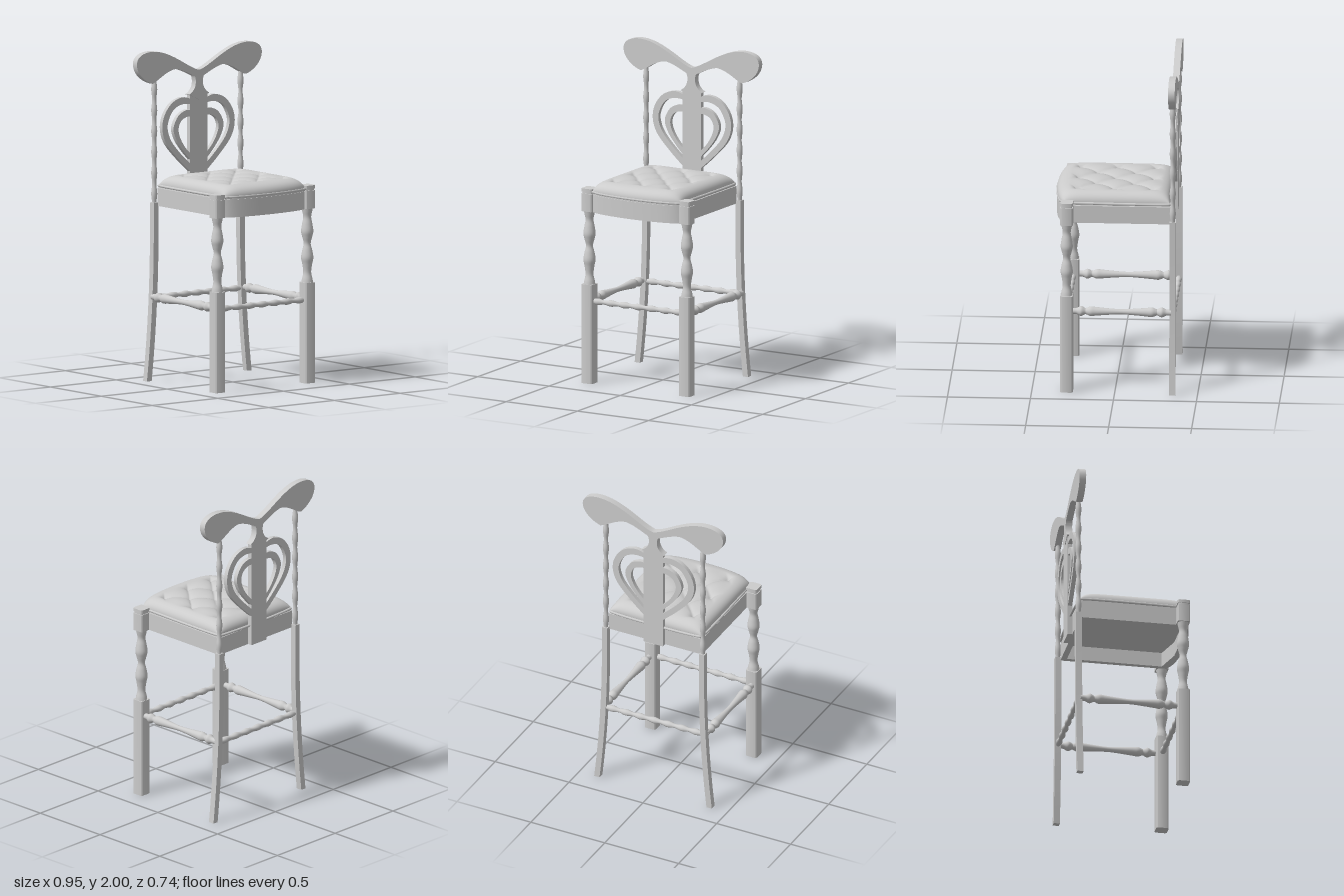
import * as THREE from 'three';
import { toCreasedNormals } from 'three/addons/utils/BufferGeometryUtils.js';

const BACK_Z = -0.348, LEG_X = 0.342, LEG_Z = 0.29, POST_X = 0.328;
const material = new THREE.MeshStandardMaterial({ color: 0xcccccc, side: THREE.DoubleSide });

function add(parent, name, geometry, x = 0, y = 0, z = 0) {
  const mesh = new THREE.Mesh(geometry, material);
  mesh.name = name;
  mesh.position.set(x, y, z);
  parent.add(mesh);
  return mesh;
}

const vec = (list) => list.map(([x, y]) => new THREE.Vector2(x, y));
const smooth = (list, n = 40) => new THREE.SplineCurve(vec(list)).getPoints(n);

// Turned part: smooth curve through [radius, height] pairs
const turned = (list, n = 60) => new THREE.LatheGeometry(smooth(list, n), 20);

// Rod with evenly spaced swellings
function beadedRod(length, beads, rMin, rMax) {
  const points = [];
  const n = beads * 10;
  for (let i = 0; i <= n; i++) {
    const wave = 0.5 - 0.5 * Math.cos((i / n) * beads * Math.PI * 2);
    points.push(new THREE.Vector2(rMin + (rMax - rMin) * wave, (i / n) * length));
  }
  return new THREE.LatheGeometry(points, 16);
}

// Flat board in the XY plane
function board(shape, depth) {
  const g = new THREE.ExtrudeGeometry(shape, { depth, bevelEnabled: false, curveSegments: 16 });
  return toCreasedNormals(g, 0.6);
}

// Plan shape (x, -z) raised upwards
const raised = (shape, height) => board(shape, height).rotateX(-Math.PI / 2);

function roundedSquare(half, r) {
  const s = new THREE.Shape();
  const k = half - r;
  s.absarc(k, k, r, 0, Math.PI / 2);
  s.absarc(-k, k, r, Math.PI / 2, Math.PI);
  s.absarc(-k, -k, r, Math.PI, Math.PI * 1.5);
  s.absarc(k, -k, r, Math.PI * 1.5, Math.PI * 2);
  return s;
}

// Bowed front edge of the seat
const frontEdge = (x) => 0.366 - 0.035 * (x / 0.31) ** 2 - 0.02 * (x / 0.31) ** 8;

function seatOutline(halfWidth, back) {
  const points = [new THREE.Vector2(-halfWidth, -back)];
  for (let i = 0; i <= 30; i++) {
    const x = halfWidth * (i / 15 - 1);
    points.push(new THREE.Vector2(x, -frontEdge(x)));
  }
  points.push(new THREE.Vector2(halfWidth, -back));
  return new THREE.Shape(points);
}

// Button-tufted cushion top
function cushionTop() {
  const g = new THREE.PlaneGeometry(2, 2, 120, 120).rotateX(-Math.PI / 2);
  const p = g.attributes.position;
  const fade = (d, w) => 1 - THREE.MathUtils.smoothstep(d, 0, w);
  for (let i = 0; i < p.count; i++) {
    const s = Math.sin(p.getX(i) * Math.PI / 2), t = Math.sin(p.getZ(i) * Math.PI / 2);
    const x = 0.31 * s;
    const z = THREE.MathUtils.lerp(-0.33, frontEdge(x), (t + 1) / 2);
    const u = x / 0.2 + (z - 0.005) / 0.23, v = x / 0.2 - (z - 0.005) / 0.23;
    const a = Math.abs(Math.sin(Math.PI * u)), b = Math.abs(Math.sin(Math.PI * v));
    const mask = fade(Math.abs(x) - 0.19, 0.07) * fade(Math.abs(z - 0.005) - 0.215, 0.07);
    const crease = 1 - Math.pow(a * b, 0.4);
    const button = (1 - a) * (1 - b);
    const edge = Math.sqrt(Math.max(0, (1 - s ** 8) * (1 - t ** 8)));
    const top = 0.068 - mask * (0.02 * crease + 0.016 * button * button);
    p.setXYZ(i, x, 1.188 + top * edge, z);
  }
  g.computeVertexNormals();
  return g;
}

function buildSeat(root) {
  const seat = new THREE.Group();
  seat.name = 'seat';
  root.add(seat);
  const frame = seatOutline(0.315, -0.335);
  frame.holes.push(new THREE.Path(vec([[-0.285, 0.3], [0.285, 0.3], [0.285, -0.28],
    [0.12, -0.325], [-0.12, -0.325], [-0.285, -0.28]])));
  add(seat, 'seatApron', raised(frame, 0.108), 0, 1.06, 0);
  add(seat, 'seatBoard', raised(seatOutline(0.3, -0.325), 0.02), 0, 1.15, -0.004);
  add(seat, 'cushionBase', raised(seatOutline(0.31, -0.33), 0.018), 0, 1.17, 0);
  add(seat, 'cushionTop', cushionTop());
  // Piping round the cushion
  const loop = seatOutline(0.306, -0.326).getPoints().map((q) => new THREE.Vector3(q.x, 1.183, -q.y - 0.004));
  const path = new THREE.CatmullRomCurve3(loop, true, 'catmullrom', 0.1);
  add(seat, 'cushionPiping', new THREE.TubeGeometry(path, 160, 0.008, 8, true));
}

function buildFrontLeg(root, side) {
  const leg = new THREE.Group();
  leg.name = side > 0 ? 'leftFrontLeg' : 'rightFrontLeg';
  leg.position.set(side * LEG_X, 0, LEG_Z);
  root.add(leg);
  const block = roundedSquare(0.038, 0.014);
  add(leg, 'lowerBlock', raised(block, 0.61));
  add(leg, 'turnedShaft', turned([[0.036, 0.605], [0.032, 0.63], [0.024, 0.67], [0.03, 0.72], [0.037, 0.76],
    [0.03, 0.805], [0.021, 0.845], [0.03, 0.885], [0.037, 0.92], [0.031, 0.965], [0.024, 1.005],
    [0.03, 1.04], [0.035, 1.065]]));
  add(leg, 'upperBlock', raised(block, 0.11), 0, 1.06, 0);
  add(leg, 'capNeck', raised(roundedSquare(0.033, 0.012), 0.012), 0, 1.17, 0);
  add(leg, 'cap', raised(block, 0.02), 0, 1.181, 0);
}

function buildBackLeg(root, side) {
  // Square leg sweeping outwards towards the floor
  const g = new THREE.BoxGeometry(0.036, 1.08, 0.038, 1, 24, 1).translate(0, 0.54, 0);
  const p = g.attributes.position;
  for (let i = 0; i < p.count; i++) {
    const k = Math.max(0, 1 - p.getY(i) / 0.9);
    p.setX(i, p.getX(i) + side * (POST_X + 0.052 * k * k));
  }
  add(root, side > 0 ? 'leftBackLeg' : 'rightBackLeg', toCreasedNormals(g, 0.5), 0, 0, BACK_Z);
  add(root, side > 0 ? 'leftBackSpindle' : 'rightBackSpindle',
    beadedRod(0.76, 6, 0.0125, 0.0185), side * POST_X, 1.07, BACK_Z);
}

function buildStretchers(root) {
  const half = [[0.018, -0.3], [0.019, -0.27], [0.03, -0.243], [0.019, -0.218], [0.02, -0.21], [0.029, -0.185],
    [0.026, -0.15], [0.02, -0.08], [0.0155, 0]];
  const profile = [...half, ...half.slice(0, -1).reverse().map(([r, y]) => [r, -y])];
  for (const side of [1, -1]) {
    add(root, side > 0 ? 'leftStretcher' : 'rightStretcher', turned(profile, 96).rotateX(Math.PI / 2),
      side * 0.346, 0.51, -0.04);
  }
  for (const [name, z] of [['frontStretcher', LEG_Z], ['backStretcher', BACK_Z]]) {
    add(root, name, beadedRod(0.66, 7, 0.013, 0.02).rotateZ(-Math.PI / 2), -0.33, 0.505, z);
  }
}

function buildBackrest(root) {
  const back = new THREE.Group();
  back.name = 'backrest';
  root.add(back);

  // Winged crest rail with a flared neck, drawn as one half and mirrored
  const half = new THREE.Path();
  half.moveTo(0, 1.86);
  half.bezierCurveTo(0.08, 1.875, 0.22, 2.0, 0.36, 2.0);
  half.bezierCurveTo(0.43, 2.0, 0.475, 1.975, 0.475, 1.93);
  half.bezierCurveTo(0.475, 1.87, 0.41, 1.82, 0.355, 1.805);
  half.bezierCurveTo(0.31, 1.82, 0.25, 1.875, 0.18, 1.88);
  half.bezierCurveTo(0.12, 1.87, 0.07, 1.84, 0.035, 1.825);
  half.bezierCurveTo(0.02, 1.8, 0.02, 1.74, 0.077, 1.715);
  half.lineTo(0, 1.68);
  const points = half.getPoints(12);
  const mirrored = points.slice(1, -1).reverse().map((q) => new THREE.Vector2(-q.x, q.y));
  add(back, 'crestRail', board(new THREE.Shape([...points, ...mirrored]), 0.04), 0, 0, -0.368);

  // Central splat
  const splat = new THREE.Shape(vec([[-0.065, 1.06], [0.065, 1.06], [0.065, 1.71], [0, 1.68], [-0.065, 1.71]]));
  add(back, 'splat', board(splat, 0.03), 0, 0, -0.364);

  // Nested heart-shaped bands on each side
  const bands = {
    outerHeartBand: [
      [[0.05, 1.685], [0.12, 1.702], [0.2, 1.675], [0.258, 1.605], [0.275, 1.52], [0.245, 1.43], [0.16, 1.335], [0.05, 1.235]],
      [[0.05, 1.655], [0.12, 1.66], [0.185, 1.635], [0.223, 1.58], [0.235, 1.52], [0.208, 1.445], [0.14, 1.365], [0.05, 1.282]]],
    innerHeartBand: [
      [[0.05, 1.62], [0.1, 1.62], [0.155, 1.59], [0.19, 1.52], [0.17, 1.45], [0.12, 1.38], [0.05, 1.305]],
      [[0.05, 1.582], [0.09, 1.58], [0.132, 1.558], [0.152, 1.51], [0.138, 1.455], [0.1, 1.395], [0.05, 1.345]]],
  };
  for (const side of [1, -1]) {
    for (const [name, [outer, inner]] of Object.entries(bands)) {
      const outline = [...smooth(outer), ...smooth(inner).reverse()].map((q) => new THREE.Vector2(side * q.x, q.y));
      add(back, name, board(new THREE.Shape(outline), 0.026), 0, 0, -0.362);
    }
  }
}

export function createModel() {
  const root = new THREE.Group();
  root.name = 'chair';
  buildSeat(root);
  for (const side of [1, -1]) {
    buildFrontLeg(root, side);
    buildBackLeg(root, side);
  }
  buildStretchers(root);
  buildBackrest(root);
  return root;
}
